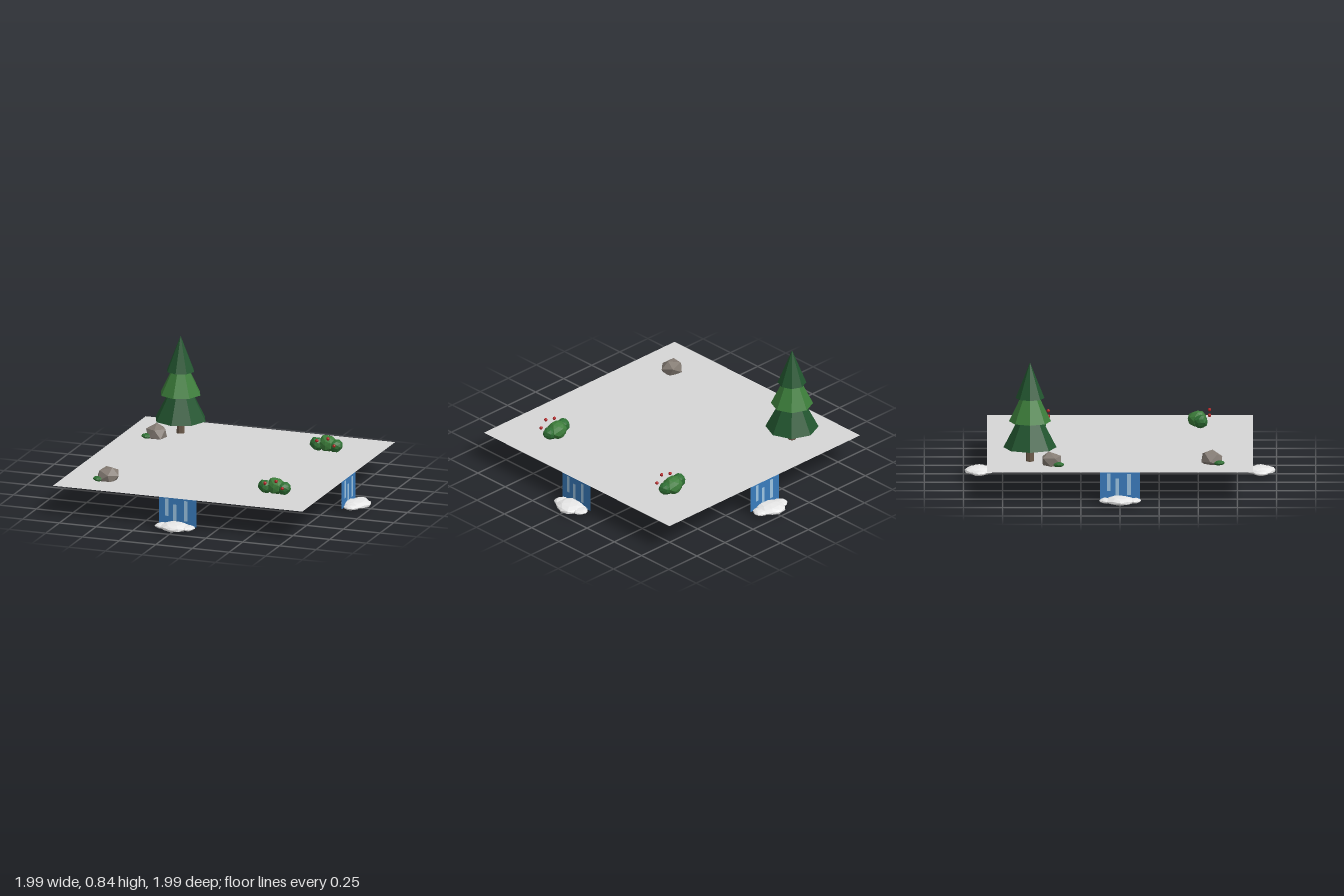
import * as THREE from 'three';

const mat = (name, color, side = THREE.FrontSide) => {
  const m = new THREE.MeshStandardMaterial({ color, flatShading: true, side });
  m.name = name;
  return m;
};

export function createModel() {
  const model = new THREE.Group();
  const M = {
    ground: mat('pale grey ground', 0xd6d6d6, THREE.DoubleSide),
    water: mat('water blue', 0x3a7cbd, THREE.DoubleSide),
    streak: mat('light water streak', 0x9cc4e2, THREE.DoubleSide),
    foam: mat('foam white', 0xf6f6f6),
    darkGreen: mat('dark pine green', 0x22552f),
    green: mat('mid green', 0x3c7d3a),
    leaf: mat('leaf green', 0x2f7034),
    trunk: mat('bark brown', 0x6b5a4a),
    rock: mat('rock grey', 0x857c74),
    berry: mat('berry red', 0xb02224),
  };

  const add = (parent, name, geometry, material, x = 0, y = 0, z = 0) => {
    const mesh = new THREE.Mesh(geometry, material);
    mesh.name = name;
    mesh.position.set(x, y, z);
    parent.add(mesh);
    return mesh;
  };
  const group = (name, x = 0, y = 0, z = 0) => {
    const g = new THREE.Group();
    g.name = name;
    g.position.set(x, y, z);
    model.add(g);
    return g;
  };

  // Faceted lump: every corner is pushed in or out by a rule of its direction
  const lump = (rx, ry, rz, detail, seed, rough = 0.08) => {
    const g = new THREE.IcosahedronGeometry(1, detail);
    const p = g.attributes.position;
    const v = new THREE.Vector3();
    for (let i = 0; i < p.count; i++) {
      v.fromBufferAttribute(p, i);
      const k = 1 + rough * Math.sin(Math.round(v.x * 50) * 0.7 + Math.round(v.y * 50) * 1.3 + Math.round(v.z * 50) * 2.1 + seed);
      p.setXYZ(i, v.x * rx * k, v.y * ry * k, v.z * rz * k);
    }
    g.computeVertexNormals();
    return g;
  };

  const TOP = 0.2, EDGE = 0.85;

  // Ground sheet
  add(model, 'ground', new THREE.PlaneGeometry(2 * EDGE, 2 * EDGE).rotateX(-Math.PI / 2), M.ground, 0, TOP, 0);

  // One waterfall with foam in the middle of each edge
  for (let i = 0; i < 4; i++) {
    const fall = group('waterfall');
    fall.rotation.y = i * Math.PI / 2;
    add(fall, 'waterSheet', new THREE.PlaneGeometry(0.256, 0.18), M.water, 0, 0.11, EDGE);
    for (const [x, low, high] of [[-0.072, 0.08, 0.195], [-0.018, 0.05, 0.16], [0.057, 0.055, 0.19]]) {
      add(fall, 'waterStreak', new THREE.PlaneGeometry(0.024, high - low), M.streak, x, (low + high) / 2, EDGE + 0.004);
    }
    add(fall, 'foamCentre', lump(0.1, 0.026, 0.098, 1, 1, 0.06), M.foam, 0, 0.028, 0.9);
    for (const s of [-1, 1]) {
      add(fall, 'foamSide', lump(0.047, 0.016, 0.05, 1, 2 + s, 0.06), M.foam, s * 0.088, 0.027, 0.9);
    }
  }

  // Pine tree: trunk and three overlapping cones
  const tree = group('pineTree', -0.51, 0, -0.575);
  add(tree, 'trunk', new THREE.CylinderGeometry(0.022, 0.027, 0.14, 8), M.trunk, 0, TOP + 0.07, 0);
  for (const [r, base, h, m] of [[0.17, 0.29, 0.33, M.darkGreen], [0.135, 0.46, 0.28, M.green], [0.092, 0.612, 0.233, M.darkGreen]]) {
    add(tree, 'pineTier', new THREE.ConeGeometry(r, h, 8), m, 0, base + h / 2, 0);
  }

  // Rocks, each with a moss patch at its foot
  for (const [x, z, r, turn] of [[-0.57, 0.59, 0.08, 0.4], [-0.622, -0.435, 0.076, 1.7]]) {
    const rocks = group('mossyRock', x, 0, z);
    const stone = add(rocks, 'rock', lump(r, r * 0.74, r * 0.95, 0, turn, 0.06), M.rock, 0, 0.227, 0);
    stone.rotation.set(0.25, turn, 0.15);
    add(rocks, 'moss', lump(0.034, 0.017, 0.034, 1, 3), M.leaf, -0.05, 0.212, 0.042);
  }

  // Berry bushes
  for (const [x, z] of [[0.54, 0.5], [0.51, -0.53]]) {
    const bush = group('berryBush', x, 0, z);
    add(bush, 'bushCentre', lump(0.066, 0.055, 0.062, 1, 1), M.green, 0, 0.243, -0.004);
    add(bush, 'bushLeft', lump(0.045, 0.043, 0.043, 1, 4), M.leaf, 0.056, 0.235, 0.006);
    add(bush, 'bushRight', lump(0.045, 0.045, 0.043, 1, 2), M.leaf, -0.068, 0.24, 0.016);
    for (const [bx, by] of [[-0.048, 0.277], [0.028, 0.297], [0.07, 0.253]]) {
      add(bush, 'berry', new THREE.IcosahedronGeometry(0.011, 1), M.berry, bx, by, 0.072);
    }
  }

  return model;
}
